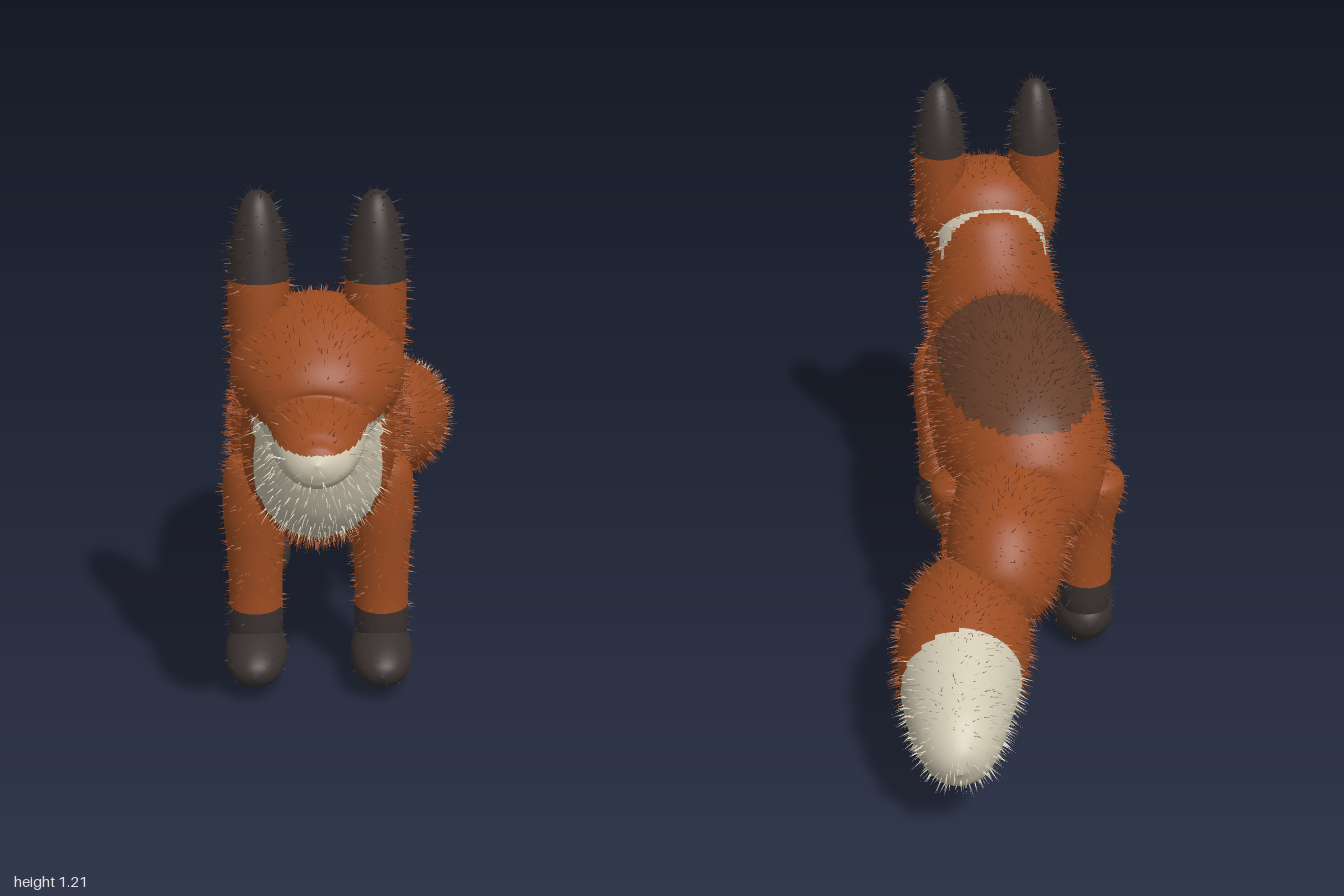
import * as THREE from 'three';

const mats = {}, furMats = {};
for (const [k, color] of Object.entries({ rust: 0x9a4a20, cream: 0xcfc6b0, dark: 0x38302e, saddle: 0x643c28 })) {
  mats[k] = new THREE.MeshStandardMaterial({ color });
  furMats[k] = new THREE.MeshStandardMaterial({ color, side: THREE.DoubleSide });
}
const MID = -0.07; // x of the body's plane of symmetry
const UP = new THREE.Vector3(0, 1, 0), FWD = new THREE.Vector3(0, 0, 1);

let seed = 7;
const rand = () => {
  seed = (seed * 1664525 + 1013904223) % 4294967296;
  return seed / 4294967296;
};

// Cubic interpolation of one column of the section list
function column(sections, i, t) {
  const n = sections.length - 1, f = Math.min(t * n, n - 1e-6), k = Math.floor(f), u = f - k;
  const p = j => sections[Math.max(0, Math.min(n, k + j))][i];
  const a = p(-1), b = p(0), c = p(1), d = p(2);
  return b + 0.5 * u * (c - a + u * (2 * a - 5 * b + 4 * c - d + u * (3 * (b - c) + d - a)));
}

// Short hairs, one thin triangle each, leaning back and down
function fur(pos, nor, index, density, length) {
  const out = [], v = [0, 1, 2].map(() => new THREE.Vector3()), n = new THREE.Vector3();
  const e1 = new THREE.Vector3(), e2 = new THREE.Vector3();
  for (let i = 0; i < index.length; i += 3) {
    v.forEach((p, j) => p.fromBufferAttribute(pos, index[i + j]));
    e1.subVectors(v[1], v[0]);
    e2.subVectors(v[2], v[0]);
    let count = new THREE.Vector3().crossVectors(e1, e2).length() * 0.5 * density;
    count = Math.floor(count + rand());
    for (let h = 0; h < count; h++) {
      let a = rand(), b = rand();
      if (a + b > 1) { a = 1 - a; b = 1 - b; }
      const root = v[0].clone().addScaledVector(e1, a).addScaledVector(e2, b);
      n.fromBufferAttribute(nor, index[i]);
      const dir = n.clone().add(new THREE.Vector3((rand() - 0.5) * 0.6, -0.35 * rand(), -0.5 * rand())).normalize();
      const side = new THREE.Vector3(rand() - 0.5, rand() - 0.5, rand() - 0.5).cross(dir).normalize().multiplyScalar(0.0015);
      const tip = root.clone().addScaledVector(dir, length * (0.5 + 0.5 * rand()));
      out.push(...root.clone().add(side).toArray(), ...root.clone().sub(side).toArray(), ...tip.toArray());
    }
  }
  const g = new THREE.BufferGeometry();
  g.setAttribute('position', new THREE.Float32BufferAttribute(out, 3));
  g.computeVertexNormals();
  return g;
}

// Smooth skin over elliptical sections [x, y, z, halfWidth, halfHeight], split into coat colours
function part(name, sections, coat, { ref = UP, rows = 64, cols = 48, density = 3500, hair = 0.032 } = {}) {
  const at = t => new THREE.Vector3(...[0, 1, 2].map(i => column(sections, i, t)));
  const verts = [], index = [];
  for (let r = 0; r <= rows; r++) {
    const t = r / rows, c = at(t);
    const dir = at(Math.min(1, t + 0.01)).sub(at(Math.max(0, t - 0.01))).normalize();
    const side = new THREE.Vector3().crossVectors(ref, dir).normalize();
    const top = new THREE.Vector3().crossVectors(dir, side);
    const w = Math.max(0.0005, column(sections, 3, t)), h = Math.max(0.0005, column(sections, 4, t));
    for (let k = 0; k < cols; k++) {
      const a = k / cols * Math.PI * 2;
      const p = c.clone().addScaledVector(side, Math.cos(a) * w).addScaledVector(top, Math.sin(a) * h);
      verts.push(p.x, p.y, p.z);
      if (r === rows) continue;
      const i = r * cols + k, j = r * cols + (k + 1) % cols;
      index.push(i, j, j + cols, i, j + cols, i + cols);
    }
  }
  const skin = new THREE.BufferGeometry();
  skin.setAttribute('position', new THREE.Float32BufferAttribute(verts, 3));
  skin.setIndex(index);
  skin.computeVertexNormals();

  const buckets = {}, pos = skin.attributes.position;
  for (let i = 0; i < index.length; i += 6) {
    const a = index[i] * 3, b = index[i + 2] * 3;
    const m = [0, 1, 2].map(j => (verts[a + j] + verts[b + j]) / 2);
    (buckets[coat(m[0] - MID, m[1], m[2])] ??= []).push(...index.slice(i, i + 6));
  }
  const group = new THREE.Group();
  group.name = name;
  for (const [key, list] of Object.entries(buckets)) {
    const g = new THREE.BufferGeometry();
    g.setAttribute('position', pos);
    g.setAttribute('normal', skin.attributes.normal);
    g.setIndex(list);
    const mesh = new THREE.Mesh(g, mats[key]);
    mesh.name = `${name} ${key}`;
    const hairs = new THREE.Mesh(fur(pos, skin.attributes.normal, list, density, hair), furMats[key]);
    hairs.name = `${name} ${key} fur`;
    group.add(mesh, hairs);
  }
  return group;
}

// Cream bib with a rounded lower edge
const bib = (dx, y, z) => z > 0.43 && (dx / 0.135) ** 2 + (Math.min(0, y - 0.55) / 0.17) ** 2 < 1;

export function createModel() {
  const fox = new THREE.Group();
  fox.name = 'fox';

  // Torso with the darker saddle
  fox.add(part('torso', [
    [MID, 0.45, -0.36, 0, 0], [MID, 0.45, -0.33, 0.10, 0.11], [MID, 0.46, -0.25, 0.165, 0.18],
    [MID, 0.49, -0.1, 0.2, 0.225], [MID, 0.5, 0.05, 0.205, 0.24], [MID, 0.505, 0.2, 0.2, 0.23],
    [MID, 0.51, 0.33, 0.192, 0.205], [MID, 0.52, 0.44, 0.16, 0.155], [MID, 0.53, 0.51, 0.1, 0.1],
    [MID, 0.53, 0.54, 0, 0]],
  (dx, y, z) => y > 0.62 && z < 0.27 ? 'saddle' : bib(dx, y, z) ? 'cream' : 'rust', { rows: 90, cols: 72 }));

  // Neck and chest
  fox.add(part('neck', [
    [MID, 0.39, 0.39, 0, 0], [MID, 0.42, 0.405, 0.1, 0.1], [MID, 0.5, 0.43, 0.155, 0.15],
    [MID, 0.61, 0.46, 0.168, 0.168], [MID, 0.73, 0.5, 0.15, 0.168], [MID, 0.83, 0.54, 0.12, 0.13],
    [MID, 0.88, 0.56, 0, 0]],
  (dx, y, z) => bib(dx, y, z) ? 'cream' : 'rust', { cols: 72 }));

  // Head tapering into the muzzle
  fox.add(part('head', [
    [MID, 0.82, 0.42, 0, 0], [MID, 0.82, 0.46, 0.1, 0.09], [MID, 0.82, 0.54, 0.168, 0.142],
    [MID, 0.81, 0.63, 0.18, 0.148], [MID, 0.785, 0.72, 0.152, 0.122], [MID, 0.745, 0.79, 0.105, 0.085],
    [MID, 0.735, 0.87, 0.09, 0.075], [MID, 0.73, 0.935, 0.07, 0.057], [MID, 0.735, 0.97, 0.043, 0.035],
    [MID, 0.738, 0.985, 0, 0]],
  (dx, y, z) => Math.abs(dx) < 0.135 && y < 0.755 - Math.max(0, 0.7 - z) * 0.4 ? 'cream' : 'rust',
  { rows: 90, cols: 72, density: 2500, hair: 0.024 }));

  // Ears
  for (const s of [1, -1]) {
    const x = MID + s * 0.121;
    fox.add(part(s > 0 ? 'leftEar' : 'rightEar', [
      [x, 0.78, 0.58, 0.05, 0.06], [x, 0.86, 0.58, 0.061, 0.073], [x, 0.95, 0.575, 0.064, 0.077],
      [x, 1.03, 0.57, 0.062, 0.073], [x, 1.1, 0.57, 0.051, 0.06], [x, 1.15, 0.57, 0.035, 0.041],
      [x, 1.175, 0.57, 0.018, 0.02], [x, 1.182, 0.57, 0, 0]],
    (dx, y) => y > 1 ? 'dark' : 'rust', { ref: FWD, rows: 60, cols: 32, hair: 0.026 }));
  }

  // Legs with dark socks, and paws
  for (const s of [1, -1]) {
    for (const [end, z, top, r] of [['Front', 0.39, 0.56, 0.075], ['Hind', -0.18, 0.5, 0.09]]) {
      const name = (s > 0 ? 'left' : 'right') + end, x = MID + s * 0.142;
      fox.add(part(name + 'Leg', [
        [x, 0.04, z, 0.04, 0.045], [x, 0.12, z, 0.06, 0.066], [x, 0.22, z, 0.06, 0.064],
        [x, 0.32, z, 0.064, 0.068], [x, 0.42, z, r * 0.95, r], [x, top - 0.04, z, r * 0.8, r * 0.85],
        [x, top, z, 0, 0]],
      (dx, y) => y < 0.18 ? 'dark' : 'rust', { ref: FWD, rows: 60, cols: 28, density: 2500, hair: 0.022 }));
      fox.add(part(name + 'Paw', [
        [x, 0.075, z - 0.075, 0, 0], [x, 0.075, z - 0.06, 0.038, 0.035], [x, 0.074, z - 0.01, 0.066, 0.068],
        [x, 0.072, z + 0.05, 0.07, 0.064], [x, 0.068, z + 0.11, 0.058, 0.047], [x, 0.066, z + 0.145, 0.034, 0.026],
        [x, 0.065, z + 0.158, 0, 0]],
      () => 'dark', { rows: 30, cols: 28, density: 600, hair: 0.012 }));
    }
  }

  // Tail root and the bushy brush with its pale tip
  fox.add(part('tailRoot', [
    [-0.06, 0.46, -0.08, 0, 0], [-0.055, 0.455, -0.12, 0.09, 0.09], [-0.035, 0.44, -0.22, 0.128, 0.135],
    [0, 0.41, -0.35, 0.135, 0.148], [0.025, 0.375, -0.47, 0.125, 0.148], [0.05, 0.35, -0.56, 0.08, 0.09],
    [0.06, 0.34, -0.6, 0, 0]], () => 'rust'));
  fox.add(part('tailBrush', [
    [0.085, 0.34, -0.37, 0, 0], [0.095, 0.325, -0.41, 0.085, 0.085], [0.115, 0.295, -0.5, 0.132, 0.14],
    [0.13, 0.27, -0.6, 0.145, 0.153], [0.15, 0.248, -0.7, 0.133, 0.142], [0.167, 0.225, -0.81, 0.11, 0.115],
    [0.176, 0.208, -0.9, 0.083, 0.088], [0.18, 0.2, -0.95, 0.046, 0.05], [0.18, 0.195, -0.968, 0, 0]],
  (dx, y, z) => z < -0.725 ? 'cream' : 'rust', { rows: 80 }));

  return fox;
}
